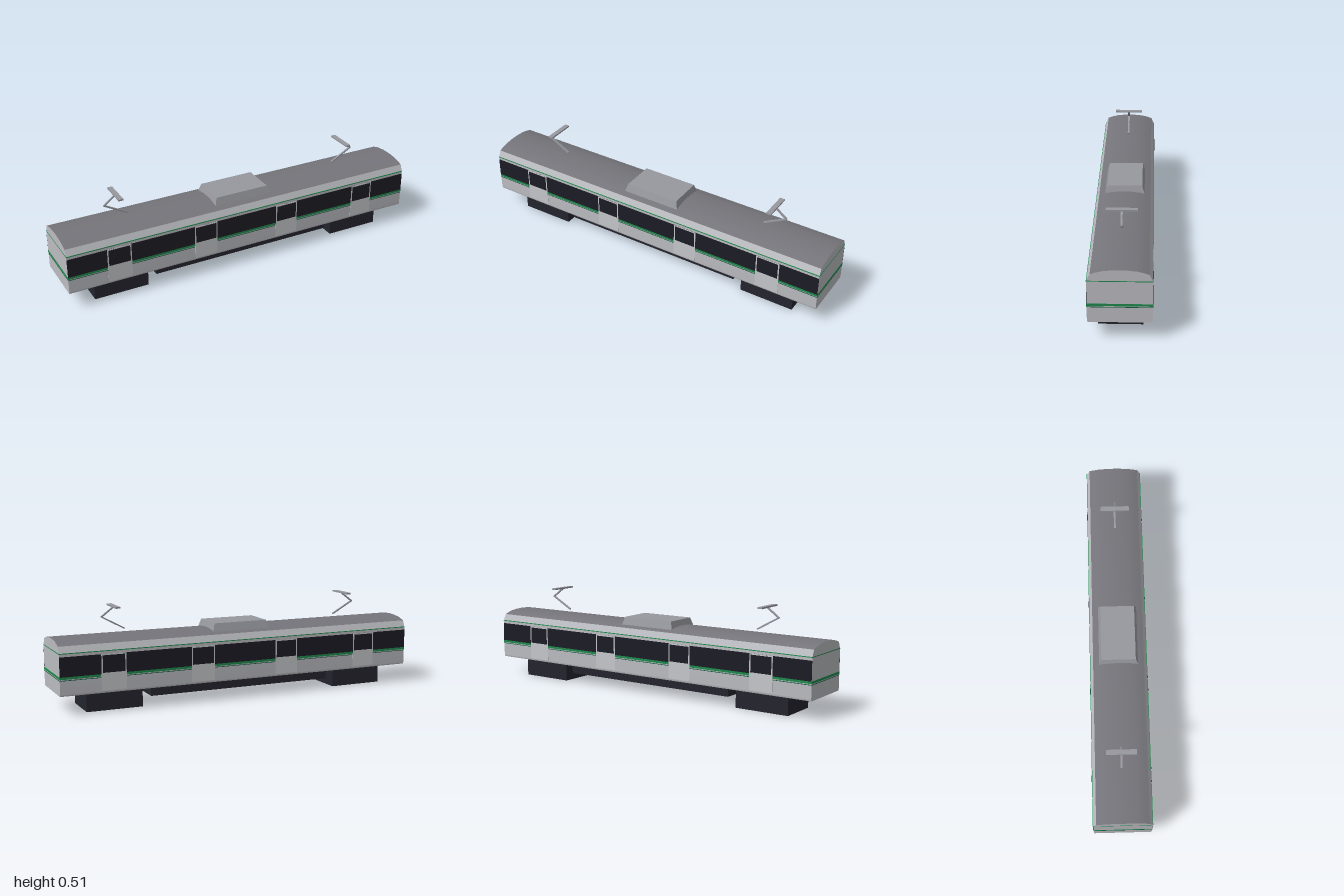
import * as THREE from 'three';

const mat = (name, color) => {
  const m = new THREE.MeshStandardMaterial({ color });
  m.name = name;
  return m;
};

export function createModel() {
  const silver = mat('silver body', 0xbcbdc2);
  const doorGrey = mat('door silver', 0xc6c7ca);
  const roofGrey = mat('roof grey', 0x76757b);
  const unitGrey = mat('equipment grey', 0x98999f);
  const glass = mat('dark glass', 0x1c1c25);
  const under = mat('underframe black', 0x24242e);
  const green = mat('green stripe', 0x1f8a4c);
  const deepGreen = mat('deep green stripe', 0x10553a);

  const model = new THREE.Group();
  model.name = 'railcar';

  const add = (name, geometry, material, x = 0, y = 0, z = 0, parent = model) => {
    const mesh = new THREE.Mesh(geometry, material);
    mesh.name = name;
    mesh.position.set(x, y, z);
    parent.add(mesh);
    return mesh;
  };
  // Box given by its limits on x and y, and its depth on z
  const box = (name, material, x0, x1, y0, y1, depth, z = 0, parent = model) =>
    add(name, new THREE.BoxGeometry(x1 - x0, y1 - y0, depth), material, (x0 + x1) / 2, (y0 + y1) / 2, z, parent);

  // Shell surface swept along x from [z, y] points
  const L = 0.999;
  const sweep = (points) => {
    const pos = [], index = [];
    points.forEach(([z, y], i) => {
      pos.push(-L, y, z, L, y, z);
      if (i) {
        const a = 2 * (i - 1);
        index.push(a, a + 1, a + 3, a, a + 3, a + 2);
      }
    });
    const g = new THREE.BufferGeometry();
    g.setAttribute('position', new THREE.Float32BufferAttribute(pos, 3));
    g.setIndex(index);
    g.computeVertexNormals();
    return g;
  };
  const flip = (points) => points.map(([z, y]) => [-z, y]).reverse();

  // Body shell: walls, shoulders, roof, floor and ends
  const wall = [[0.146, 0.1], [0.15, 0.111], [0.15, 0.313]];
  const shoulder = [[0.15, 0.313], [0.134, 0.348]];
  const roofHalf = [[0.134, 0.348], [0.108, 0.357], [0.08, 0.364], [0.04, 0.3685]];
  const roof = [...roofHalf, [0, 0.37], ...flip(roofHalf)];
  add('leftWall', sweep(wall), silver);
  add('rightWall', sweep(flip(wall)), silver);
  add('frontShoulder', sweep(shoulder), silver);
  add('backShoulder', sweep(flip(shoulder)), silver);
  add('roof', sweep(roof), roofGrey);
  add('floor', sweep([[-0.146, 0.1], [0.146, 0.1]]), under);
  const outline = [...wall, ...roof, ...flip(wall)];
  const endShape = new THREE.Shape(outline.map(([z, y]) => new THREE.Vector2(z, y)));
  for (const s of [-1, 1]) {
    const end = add(s > 0 ? 'leftEnd' : 'rightEnd', new THREE.ShapeGeometry(endShape), silver, s * L);
    end.rotation.y = s * Math.PI / 2;
  }

  // Stripes running right round the body
  box('upperStripe', green, -1, 1, 0.311, 0.315, 0.303);
  box('waistStripe', green, -1, 1, 0.185, 0.197, 0.303);
  box('thinStripe', deepGreen, -1, 1, 0.178, 0.181, 0.303);

  // Window bands and doors on both sides
  for (const s of [-1, 1]) {
    const side = new THREE.Group();
    side.name = s > 0 ? 'frontSide' : 'backSide';
    model.add(side);
    box('windowBand', glass, -L, L, 0.197, 0.297, 0.002, s * 0.1505, side);
    for (const x of [-0.725, -0.243, 0.24, 0.722]) {
      box('door', doorGrey, x - 0.065, x + 0.065, 0.113, 0.297, 0.002, s * 0.1515, side);
      box('doorWindow', glass, x - 0.058, x + 0.058, 0.203, 0.291, 0.002, s * 0.1522, side);
    }
  }

  // Undercarriage
  box('equipmentBox', under, -0.513, 0.513, 0.05, 0.1, 0.214);
  for (const s of [-1, 1]) {
    box('bogie', under, s * 0.707 - 0.148, s * 0.707 + 0.148, 0, 0.09, 0.214);
  }

  // Roof unit with sloped sides
  const unit = new THREE.BoxGeometry(0.326, 0.044, 0.206);
  const p = unit.attributes.position;
  for (let i = 0; i < p.count; i++) {
    if (p.getY(i) > 0) {
      p.setX(i, Math.sign(p.getX(i)) * 0.15);
      p.setZ(i, Math.sign(p.getZ(i)) * 0.09);
    }
  }
  unit.computeVertexNormals();
  add('roofUnit', unit, unitGrey, 0, 0.378, 0);

  // Pantographs: two arms and a contact bar each
  for (const s of [-1, 1]) {
    const panto = new THREE.Group();
    panto.name = 'pantograph';
    model.add(panto);
    const arm = (name, x0, y0, x1, y1) => {
      const dx = s * (x1 - x0), dy = y1 - y0;
      const mesh = add(name, new THREE.BoxGeometry(Math.hypot(dx, dy), 0.007, 0.01), unitGrey,
        s * (x0 + x1) / 2, (y0 + y1) / 2, 0, panto);
      mesh.rotation.z = Math.atan2(dy, dx);
    };
    arm('lowerArm', 0.615, 0.393, 0.737, 0.46);
    arm('upperArm', 0.737, 0.458, 0.667, 0.51);
    box('contactBar', unitGrey, s * 0.671 - 0.013, s * 0.671 + 0.013, 0.507, 0.515, 0.153, 0, panto);
  }

  return model;
}
